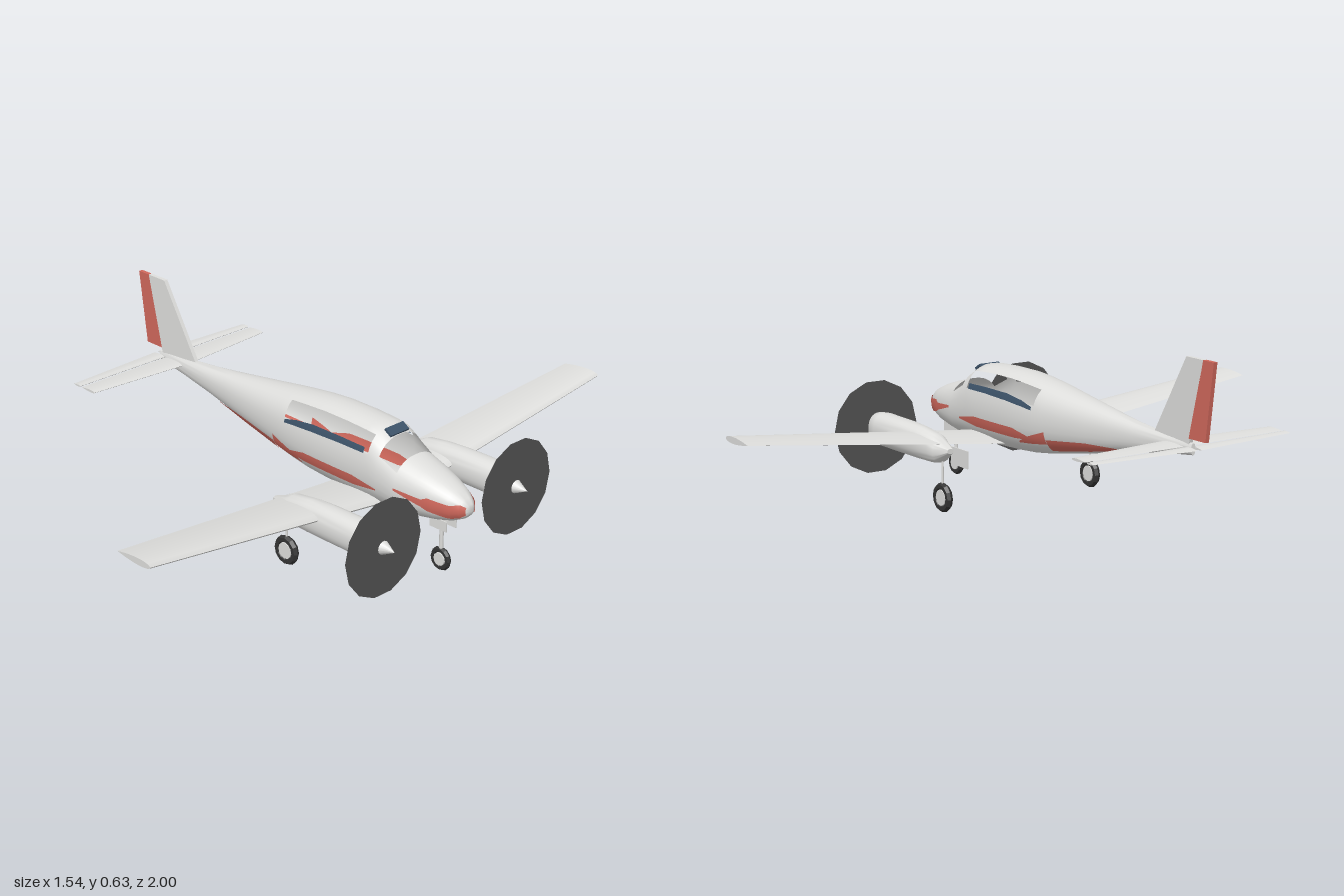
import * as THREE from 'three';
import { toCreasedNormals } from 'three/addons/utils/BufferGeometryUtils.js';

const mat = (name, color, side = THREE.FrontSide) => {
  const m = new THREE.MeshStandardMaterial({ color, side });
  m.name = name;
  return m;
};

// Skin joining closed rings of points; skip(i, j) leaves openings
function loft(rings, skip = () => false, crease = 0.9) {
  const n = rings[0].length, last = (rings.length - 1) * n, idx = [];
  for (let i = 0; i < rings.length - 1; i++) {
    for (let j = 0; j < n; j++) {
      if (skip(i, j)) continue;
      const a = i * n + j, b = i * n + (j + 1) % n;
      idx.push(a, a + n, b, b, a + n, b + n);
    }
  }
  for (let j = 1; j < n - 1; j++) idx.push(0, j, j + 1, last, last + j + 1, last + j);
  const g = new THREE.BufferGeometry();
  g.setAttribute('position', new THREE.Float32BufferAttribute(rings.flat(2), 3));
  g.setIndex(idx);
  return toCreasedNormals(g, crease);
}

// Fuselage stations: x, bottom, top, half width
const STATIONS = [
  [-0.67, 0.325, 0.362, 0.008], [-0.55, 0.31, 0.368, 0.02], [-0.4, 0.285, 0.38, 0.037],
  [-0.3, 0.265, 0.392, 0.05], [-0.2, 0.245, 0.405, 0.066], [-0.1, 0.227, 0.418, 0.081],
  [0, 0.208, 0.432, 0.095], [0.04, 0.201, 0.437, 0.1], [0.12, 0.19, 0.446, 0.107],
  [0.2, 0.184, 0.452, 0.11], [0.3, 0.18, 0.452, 0.111], [0.38, 0.179, 0.448, 0.11],
  [0.42, 0.179, 0.444, 0.109], [0.46, 0.18, 0.42, 0.107], [0.53, 0.184, 0.375, 0.1],
  [0.6, 0.192, 0.357, 0.087], [0.66, 0.202, 0.338, 0.073], [0.71, 0.215, 0.318, 0.055],
  [0.745, 0.232, 0.298, 0.034], [0.76, 0.246, 0.283, 0.018], [0.766, 0.262, 0.268, 0.003]
];
const POWER = 2.3, SIDES = 32;
const bulge = v => Math.sign(v) * Math.abs(v) ** (2 / POWER);

const bodyRing = ([x, lo, hi, w]) => Array.from({ length: SIDES }, (_, j) => {
  const a = j / SIDES * Math.PI * 2;
  return [x, (lo + hi) / 2 + (hi - lo) / 2 * bulge(Math.sin(a)), w * bulge(Math.cos(a))];
});

// Half width of the fuselage at a side point
function skinZ(x, y) {
  let i = 0;
  while (i < STATIONS.length - 2 && STATIONS[i + 1][0] < x) i++;
  const s = STATIONS[i], e = STATIONS[i + 1], t = (x - s[0]) / (e[0] - s[0]);
  const [lo, hi, w] = [1, 2, 3].map(k => s[k] + (e[k] - s[k]) * t);
  const r = Math.min(1, Math.abs((y - (lo + hi) / 2) / ((hi - lo) / 2)));
  return w * (1 - r ** POWER) ** (1 / POWER);
}

// Painted patch on the +z skin, from outline points [x, low, high]
function skinPatch(pts, offset) {
  const pos = [], idx = [], rows = 5, steps = 6;
  const cols = (pts.length - 1) * steps;
  for (let c = 0; c <= cols; c++) {
    const i = Math.min(Math.floor(c / steps), pts.length - 2), t = c / steps - i;
    const [x, lo, hi] = [0, 1, 2].map(k => pts[i][k] + (pts[i + 1][k] - pts[i][k]) * t);
    for (let r = 0; r <= rows; r++) {
      const y = lo + (hi - lo) * r / rows;
      pos.push(x, y, skinZ(x, y) + offset);
      if (c < cols && r < rows) {
        const a = c * (rows + 1) + r, b = a + rows + 1;
        idx.push(a, b, a + 1, a + 1, b, b + 1);
      }
    }
  }
  const g = new THREE.BufferGeometry();
  g.setAttribute('position', new THREE.Float32BufferAttribute(pos, 3));
  g.setIndex(idx);
  g.computeVertexNormals();
  return g;
}

// Airfoil section running from tail edge x0 to nose edge x1
const airfoil = (x0, x1, y, thick, z) => Array.from({ length: 20 }, (_, j) => {
  const a = j / 20 * Math.PI * 2, u = (1 + Math.cos(a)) / 2;
  return [x0 + (x1 - x0) * u, y - Math.sin(a) * thick * Math.sqrt(u) * 0.7, z];
});

// Thin upright plate from an outline in x and y
function plate(points, thick) {
  const s = new THREE.Shape(points.map(p => new THREE.Vector2(...p)));
  return new THREE.ExtrudeGeometry(s, { depth: thick, bevelEnabled: false }).translate(0, 0, -thick / 2);
}

export function createModel() {
  const white = mat('bodyPaint', 0xdededc, THREE.DoubleSide);
  const red = mat('redPaint', 0xd0685c, THREE.DoubleSide);
  const glass = mat('windowGlass', 0x3c5268, THREE.DoubleSide);
  const dark = mat('propellerGrey', 0x535353, THREE.DoubleSide);
  const rubber = mat('tyreRubber', 0x343434);
  const model = new THREE.Group();
  model.name = 'twinPropellerPlane';
  const add = (parent, name, geo, material, x = 0, y = 0, z = 0) => {
    const m = new THREE.Mesh(geo, material);
    m.name = name;
    m.position.set(x, y, z);
    parent.add(m);
    return m;
  };

  // Fuselage with open side windows and windscreen
  const opening = (i, j) => {
    const x = (STATIONS[i][0] + STATIONS[i + 1][0]) / 2;
    const side = (j >= 2 && j < 5) || (j >= 11 && j < 14);
    return (x > 0.04 && x < 0.42 && side) || (x > 0.46 && x < 0.53 && j >= 3 && j < 13);
  };
  add(model, 'fuselage', loft(STATIONS.map(bodyRing), opening), white);
  add(model, 'windscreen', new THREE.BoxGeometry(0.032, 0.008, 0.08), glass, 0.446, 0.431).rotation.z = -0.54;

  // Fin and rudder
  add(model, 'fin', plate([[-0.72, 0.625], [-0.655, 0.35], [-0.485, 0.365], [-0.64, 0.625]], 0.014), white);
  add(model, 'rudder', plate([[-0.77, 0.625], [-0.735, 0.375], [-0.655, 0.375], [-0.72, 0.625]], 0.014), red);

  // Wheel with its strut
  const wheel = (parent, name, x, y, z, r, strutR) => {
    const g = new THREE.Group();
    g.name = name;
    g.position.set(x, y, z);
    parent.add(g);
    add(g, 'tyre', toCreasedNormals(new THREE.TorusGeometry(r * 0.76, r * 0.25, 6, 12), 0.3), rubber);
    add(g, 'hub', new THREE.CylinderGeometry(r * 0.55, r * 0.55, 0.02, 12).rotateX(Math.PI / 2), white);
    add(g, 'strut', new THREE.CylinderGeometry(strutR, strutR, 0.15, 8), white, 0, 0.075);
  };
  wheel(model, 'noseWheel', 0.645, 0.055, 0, 0.04, 0.007);

  // Nacelle stations: x, bottom, top, half width
  const nacelle = [
    [0.215, 0.205, 0.222, 0.012], [0.27, 0.167, 0.242, 0.036], [0.3, 0.162, 0.257, 0.042],
    [0.38, 0.16, 0.268, 0.046], [0.46, 0.16, 0.272, 0.049], [0.62, 0.16, 0.274, 0.05],
    [0.66, 0.164, 0.27, 0.045], [0.682, 0.18, 0.252, 0.03]
  ];

  // Painted stripe outlines: x, low, high
  const stripes = {
    tailStripe: [[-0.34, 0.28, 0.288], [-0.2, 0.255, 0.285], [-0.02, 0.226, 0.266]],
    middleStripe: [[-0.018, 0.25, 0.293], [0.06, 0.24, 0.267], [0.12, 0.235, 0.24]],
    cabinStripe: [[0.04, 0.254, 0.258], [0.14, 0.247, 0.282], [0.36, 0.247, 0.282], [0.46, 0.26, 0.265]],
    noseStripe: [[0.53, 0.285, 0.292], [0.63, 0.257, 0.282], [0.65, 0.248, 0.291], [0.72, 0.234, 0.281],
      [0.745, 0.241, 0.286], [0.76, 0.252, 0.277]]
  };

  for (const s of [1, -1]) {
    const half = new THREE.Group();
    half.name = s > 0 ? 'leftHalf' : 'rightHalf';
    half.scale.z = s;
    model.add(half);

    // Wing and tailplane
    add(half, 'wing', loft([
      airfoil(0.23, 0.465, 0.2, 0.034, 0), airfoil(0.24, 0.457, 0.213, 0.032, 0.13),
      airfoil(0.29, 0.435, 0.31, 0.021, 1)]), white);
    add(half, 'stabilizer', loft([
      airfoil(-0.636, -0.54, 0.347, 0.01, 0), airfoil(-0.636, -0.57, 0.347, 0.008, 0.38)]), white);
    add(half, 'elevator', loft([
      airfoil(-0.7, -0.645, 0.345, 0.008, 0.008), airfoil(-0.677, -0.645, 0.347, 0.006, 0.38)]), white);

    // Engine, spinner and spinning propeller disc
    add(half, 'nacelle', loft(nacelle.map(bodyRing)), white, 0, 0, 0.3);
    add(half, 'spinner', new THREE.ConeGeometry(0.024, 0.05, 14).rotateZ(-Math.PI / 2), white, 0.706, 0.215, 0.3);
    add(half, 'propellerDisc', new THREE.CircleGeometry(0.162, 14).rotateY(Math.PI / 2), dark, 0.684, 0.215, 0.3);

    // Landing gear and doors
    wheel(half, 'mainWheel', 0.265, 0.05, 0.3, 0.05, 0.004);
    add(half, 'mainGearDoor', new THREE.BoxGeometry(0.1, 0.06, 0.004), white, 0.262, 0.176, 0.235);
    add(half, 'noseGearDoor', new THREE.BoxGeometry(0.07, 0.035, 0.004), white, 0.65, 0.185, 0.022);

    // Side window, and stripes painted on both faces of the skin
    add(half, 'sideWindow', skinPatch([[0.045, 0.355, 0.366], [0.1, 0.361, 0.38], [0.18, 0.367, 0.39],
      [0.3, 0.371, 0.391], [0.405, 0.37, 0.388]], 0.004), glass);
    for (const [name, outline] of Object.entries(stripes)) {
      add(half, name, skinPatch(outline, 0.004), red);
      add(half, name + 'Inside', skinPatch(outline, -0.004), red);
    }
  }
  return model;
}
